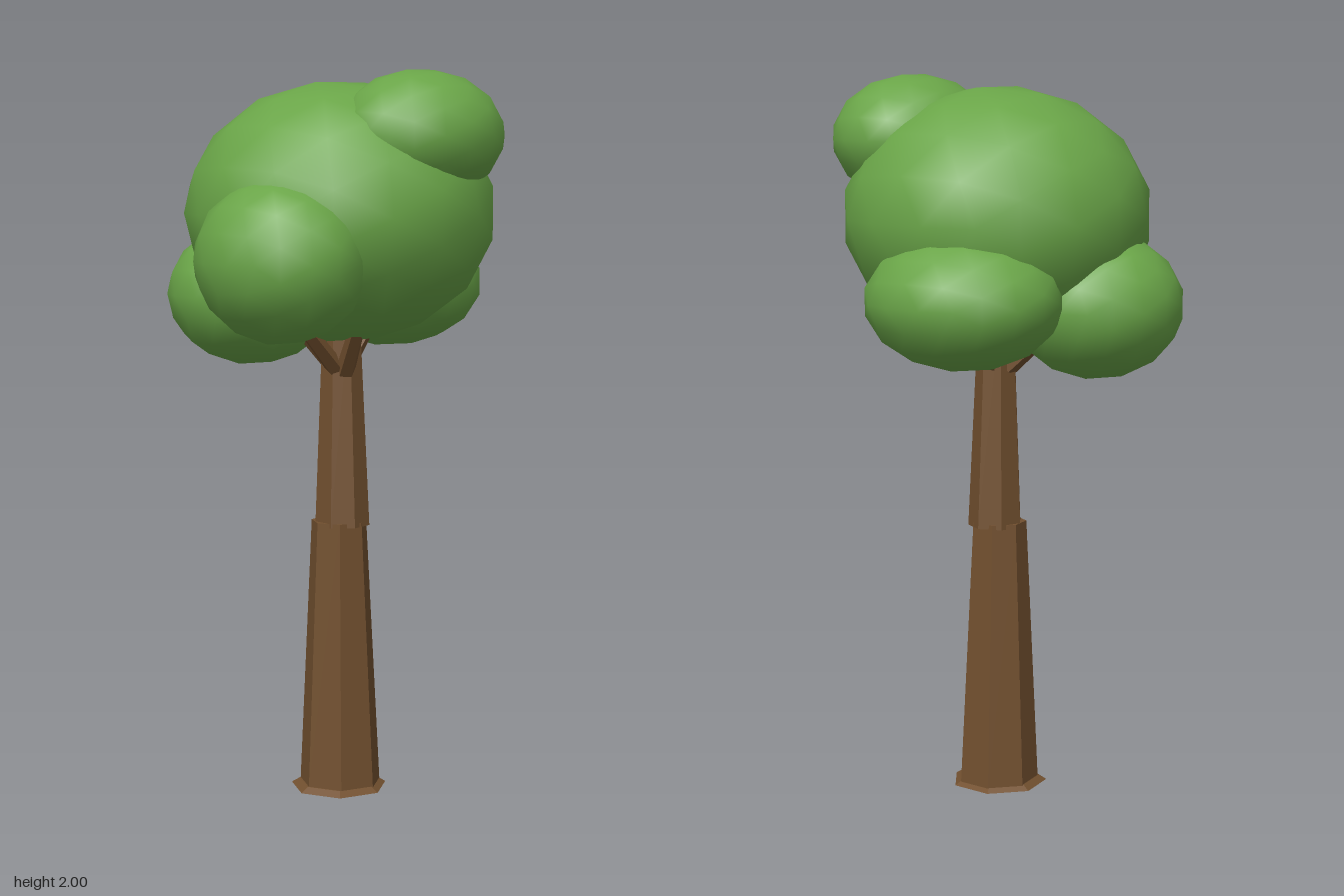
import * as THREE from 'three';

const leaf = new THREE.MeshStandardMaterial({ color: 0x6aa548 });
leaf.name = 'leaf green';
const bark = new THREE.MeshStandardMaterial({ color: 0x72502f });
bark.name = 'bark brown';

const UP = new THREE.Vector3(0, 1, 0);

// Faceted tapered limb from point a to point b
function limb(name, a, b, r0, r1, sides, turn) {
  const start = new THREE.Vector3(...a), end = new THREE.Vector3(...b);
  const dir = end.clone().sub(start);
  const geo = new THREE.CylinderGeometry(r1, r0, dir.length(), sides, 1, false, turn).toNonIndexed();
  geo.computeVertexNormals();
  const mesh = new THREE.Mesh(geo, bark);
  mesh.name = name;
  mesh.position.copy(start).add(end).multiplyScalar(0.5);
  mesh.quaternion.setFromUnitVectors(UP, dir.normalize());
  return mesh;
}

// Smooth, coarse ellipsoid of leaves
function clump(name, centre, radii) {
  const mesh = new THREE.Mesh(new THREE.IcosahedronGeometry(1.01, 2), leaf);
  mesh.name = name;
  mesh.position.set(...centre);
  mesh.scale.set(...radii);
  return mesh;
}

export function createModel() {
  const tree = new THREE.Group();
  tree.name = 'tree';

  // Seven-sided trunk in two offset sections, with a thin flared foot
  const lowerTurn = Math.PI / 14, upperTurn = 3 * Math.PI / 14;
  tree.add(
    limb('trunkFoot', [-0.005, 0, 0.037], [-0.005, 0.014, 0.037], 0.136, 0.113, 7, lowerTurn),
    limb('lowerTrunk', [0, 0.005, 0.037], [-0.003, 0.76, 0.035], 0.115, 0.078, 7, lowerTurn),
    limb('upperTrunk', [0.004, 0.748, 0.04], [0.004, 1.36, 0.035], 0.077, 0.051, 7, upperTurn),
  );

  // Short branches disappearing into the leaves
  const branches = [
    ['frontBranch', [-0.01, 1.18, 0.07], [-0.06, 1.36, 0.2]],
    ['rightBranch', [-0.02, 1.18, 0.05], [-0.19, 1.34, 0.08]],
    ['leftBranch', [0.03, 1.2, 0.03], [0.18, 1.36, 0]],
    ['backBranch', [0, 1.2, 0], [-0.05, 1.34, -0.15]],
  ];
  for (const [name, a, b] of branches) tree.add(limb(name, a, b, 0.028, 0.02, 5, 0));

  // Crown: one large clump with four smaller ones around it
  tree.add(
    clump('mainCrown', [0, 1.615, 0.035], [0.425, 0.355, 0.42]),
    clump('frontClump', [0.09, 1.825, 0.26], [0.24, 0.175, 0.21]),
    clump('rightClump', [-0.3, 1.5, 0.15], [0.22, 0.22, 0.245]),
    clump('leftClump', [0.265, 1.41, -0.065], [0.25, 0.183, 0.275]),
    clump('backClump', [-0.09, 1.382, -0.24], [0.24, 0.2, 0.235]),
  );
  return tree;
}
